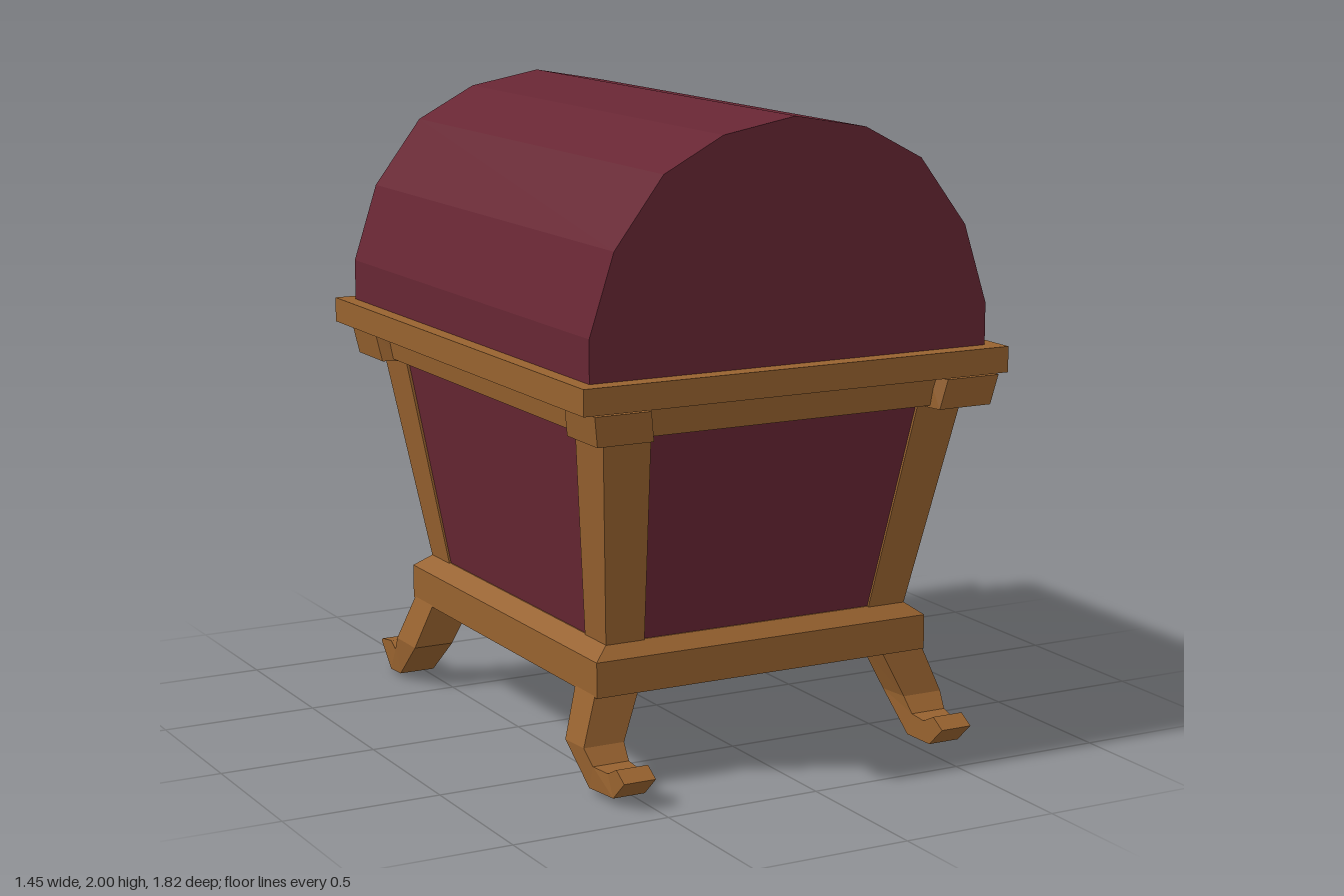
import * as THREE from 'three';

const wood = new THREE.MeshStandardMaterial({ color: 0x97622f });
wood.name = 'warm wood';
const red = new THREE.MeshStandardMaterial({ color: 0x672633 });
red.name = 'dark red panel';

// Closed solid through rings of matching [x, y, z] points, facing outwards whatever the ring direction
function loft(rings) {
  const tris = [];
  const n = rings[0].length;
  for (let r = 0; r < rings.length - 1; r++) {
    for (let i = 0; i < n; i++) {
      const j = (i + 1) % n;
      const a = rings[r][i], b = rings[r][j], c = rings[r + 1][j], d = rings[r + 1][i];
      tris.push([a, b, c], [a, c, d]);
    }
  }
  const first = rings[0], last = rings[rings.length - 1];
  for (let i = 1; i < n - 1; i++) {
    tris.push([first[0], first[i + 1], first[i]], [last[0], last[i], last[i + 1]]);
  }
  const v = (p) => new THREE.Vector3(...p);
  let volume = 0;
  for (const [a, b, c] of tris) volume += v(a).dot(v(b).cross(v(c)));
  if (volume < 0) tris.forEach((t) => t.reverse());
  const geo = new THREE.BufferGeometry();
  geo.setAttribute('position', new THREE.Float32BufferAttribute(tris.flat(2), 3));
  geo.computeVertexNormals();
  return geo;
}

const rect = (x0, x1, y, z0, z1) => [[x0, y, z0], [x1, y, z0], [x1, y, z1], [x0, y, z1]];
const slab = (hx, y, hz) => rect(-hx, hx, y, -hz, hz);

export function createModel() {
  const model = new THREE.Group();
  // The lower case sits a touch off centre under the lid
  const lower = new THREE.Group();
  lower.name = 'lowerCase';
  lower.position.set(0.0125, 0, 0.006);
  model.add(lower);

  const add = (parent, name, geo, mat) => {
    const mesh = new THREE.Mesh(geo, mat);
    mesh.name = name;
    parent.add(mesh);
  };

  // Faceted barrel lid
  const half = [[0.675, 1.265], [0.675, 1.4], [0.595, 1.645], [0.435, 1.855], [0.24, 1.957]];
  const profile = [...half, [0, 2], ...half.map(([x, y]) => [-x, y]).reverse()];
  add(model, 'lid', loft([-0.85, 0.85].map((z) => profile.map(([x, y]) => [x, y, z]))), red);

  // Flat rim beneath the lid
  add(model, 'rim', loft([slab(0.723, 1.19, 0.908), slab(0.723, 1.27, 0.908)]), wood);

  // Tapered panels, upper rail and stepped base
  add(lower, 'bodyPanels', loft([slab(0.518, 0.42, 0.618), slab(0.608, 1.1, 0.782)]), red);
  add(lower, 'upperRail', loft([slab(0.64, 1.095, 0.825), slab(0.655, 1.192, 0.845)]), wood);
  add(lower, 'base', loft([
    slab(0.577, 0.28, 0.668), slab(0.577, 0.39, 0.668), slab(0.523, 0.43, 0.625),
  ]), wood);
  add(lower, 'floor', loft([slab(0.445, 0.276, 0.535), slab(0.445, 0.284, 0.535)]), red);

  // Leg sections: inner x, outer x, upper [z, y], lower [z, y]
  const frontLeg = [
    [0.43, 0.577, [0.655, 0.285], [0.525, 0.285]],
    [0.495, 0.63, [0.685, 0.14], [0.563, 0.135]],
    [0.5, 0.62, [0.725, 0.093], [0.7, 0.02]],
    [0.5, 0.605, [0.79, 0.088], [0.825, 0.022]],
    [0.5, 0.605, [0.845, 0.115], [0.895, 0.085]],
  ];
  const backLeg = [
    [0.43, 0.577, [0.655, 0.285], [0.515, 0.285]],
    [0.495, 0.63, [0.69, 0.14], [0.545, 0.14]],
    [0.5, 0.62, [0.73, 0.09], [0.69, 0.015]],
    [0.5, 0.605, [0.8, 0.1], [0.805, 0]],
    [0.5, 0.605, [0.872, 0.09], [0.882, 0.082]],
  ];

  // Corner bracket outline, tapering inwards towards its lower edge
  const bracket = (y, d) => [
    [0.69 - d, y, 0.882 - d], [0.507 - d, y, 0.882 - d], [0.48, y, 0.82],
    [0.48, y, 0.65], [0.62, y, 0.65], [0.69 - d, y, 0.69 - d],
  ];

  for (const sx of [1, -1]) {
    for (const sz of [1, -1]) {
      const mirror = (rings) => loft(rings.map((r) => r.map(([x, y, z]) => [x * sx, y, z * sz])));
      const tag = (sz > 0 ? 'front' : 'back') + (sx > 0 ? 'Left' : 'Right');
      add(lower, tag + 'Post', mirror([
        rect(0.395, 0.525, 0.425, 0.49, 0.627), rect(0.46, 0.617, 1.1, 0.612, 0.792),
      ]), wood);
      add(lower, tag + 'Bracket', mirror([bracket(1.088, 0.017), bracket(1.182, 0)]), wood);
      const leg = sz > 0 ? frontLeg : backLeg;
      add(lower, tag + 'Leg', mirror(leg.map(([xi, xo, [zu, yu], [zl, yl]]) => [
        [xi, yu, zu], [xo, yu, zu], [xo, yl, zl], [xi, yl, zl],
      ])), wood);
    }
  }
  return model;
}
